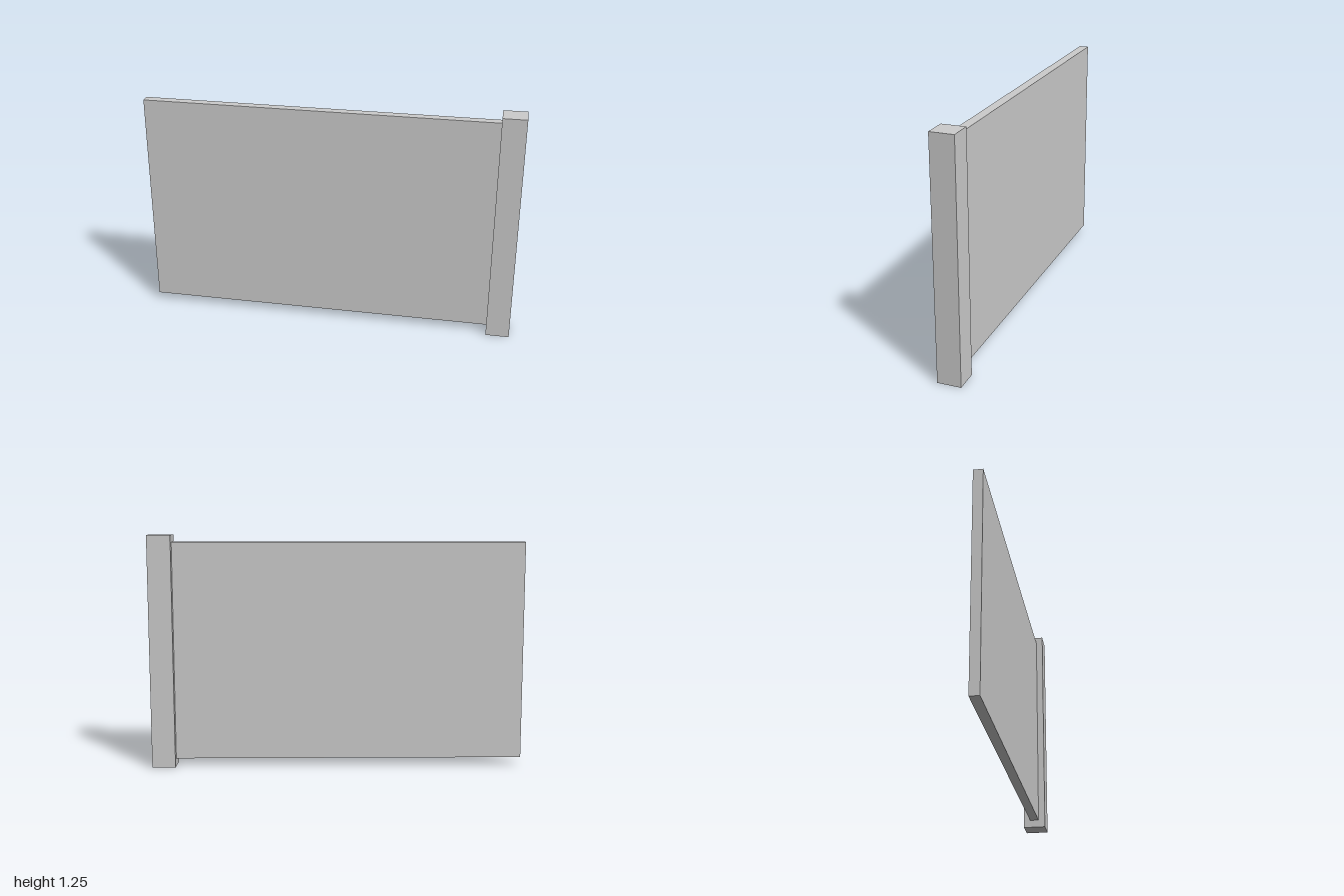
import * as THREE from 'three';

export function createModel() {
  const group = new THREE.Group();
  const material = new THREE.MeshStandardMaterial({ color: 0xcccccc, flatShading: true });

  // Box given by its lowest and highest corners
  function addBox(name, min, max) {
    const [w, h, d] = max.map((v, i) => v - min[i]);
    const mesh = new THREE.Mesh(new THREE.BoxGeometry(w, h, d), material);
    mesh.position.set(min[0] + w / 2, min[1] + h / 2, min[2] + d / 2);
    mesh.name = name;
    group.add(mesh);
  }

  // Square post at the left end, slightly taller than the panel
  addBox('post', [0.875, 0, -0.0625], [1, 1.25, 0.0625]);
  // Thin wall panel, raised a little off the ground and butting against the post
  addBox('panel', [-1, 0.042, -0.025], [0.875, 1.212, 0.025]);

  return group;
}
